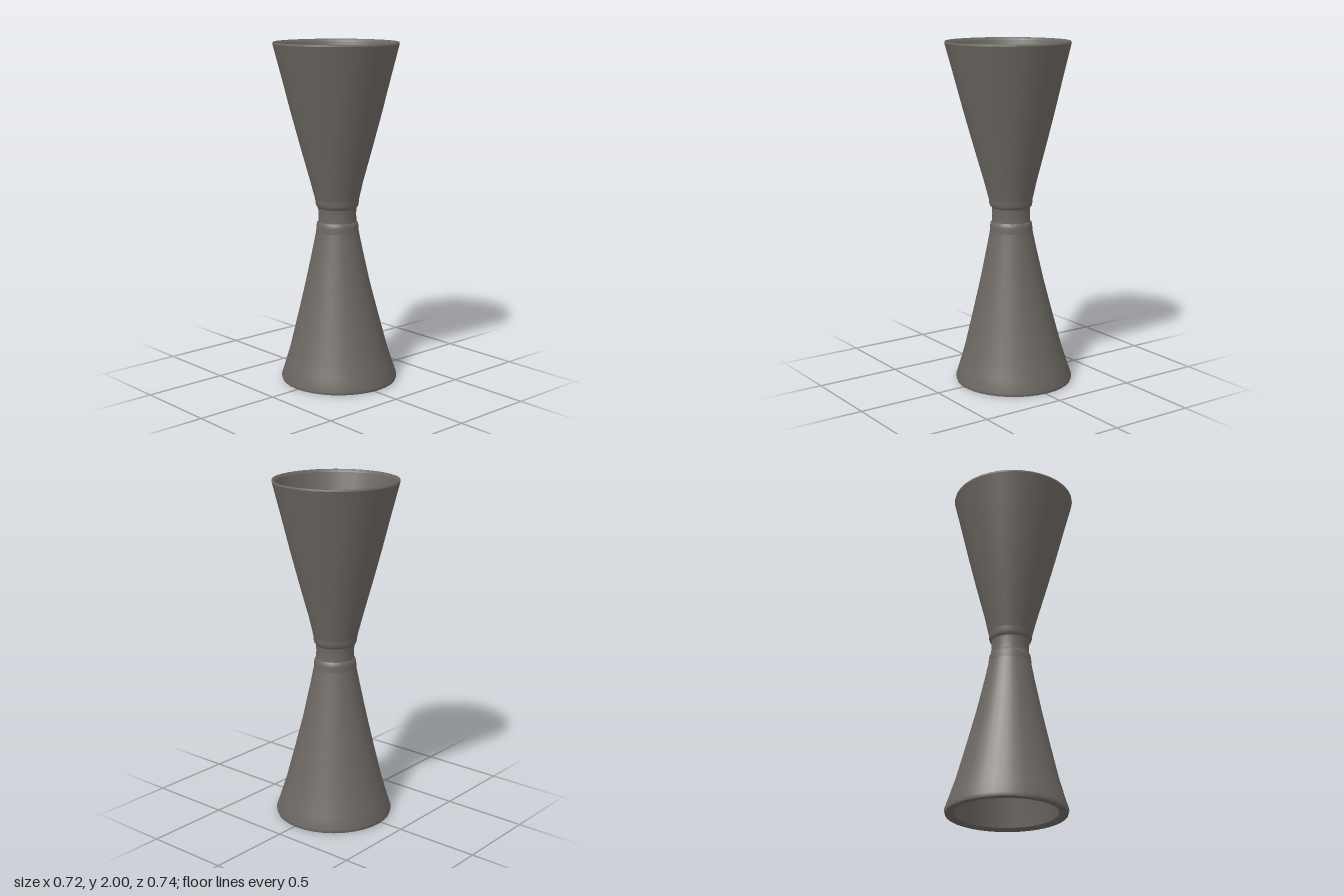
import * as THREE from 'three';

const SEGMENTS = 36;

// The axis leans a little: [y, x offset, z offset]
const axis = [[0, -0.015, -0.03], [0.6, -0.012, -0.015], [1.0, -0.009, -0.01], [1.2, -0.008, -0.004], [2, 0, 0.008]];

function axisAt(y) {
  let i = 0;
  while (i < axis.length - 2 && y > axis[i + 1][0]) i++;
  const [a, b] = [axis[i], axis[i + 1]];
  const t = (y - a[0]) / (b[0] - a[0]);
  return [a[1] + (b[1] - a[1]) * t, a[2] + (b[2] - a[2]) * t];
}

// Turned surface from [radius, y] points, leaned along the axis
function turned(name, points, material) {
  const geometry = new THREE.LatheGeometry(points.map(([r, y]) => new THREE.Vector2(r, y)), SEGMENTS);
  const p = geometry.attributes.position;
  for (let i = 0; i < p.count; i++) {
    const [dx, dz] = axisAt(p.getY(i));
    p.setX(i, p.getX(i) + dx);
    p.setZ(i, p.getZ(i) + dz);
  }
  const mesh = new THREE.Mesh(geometry, material);
  mesh.name = name;
  return mesh;
}

export function createModel() {
  const metal = new THREE.MeshStandardMaterial({ color: 0x6c6762 });
  metal.name = 'dark metal';

  const group = new THREE.Group();
  group.name = 'doubleCup';

  const parts = {
    // Lower cup, opening downwards
    lowerCavityRoof: [[0, 0.86], [0.085, 0.86]],
    lowerCupInside: [[0.085, 0.86], [0.16, 0.6], [0.21, 0.4], [0.255, 0.2], [0.29, 0.01]],
    lowerRim: [[0.29, 0.01], [0.3, 0], [0.34, 0]],
    lowerCupOutside: [[0.34, 0], [0.345, 0.02], [0.322, 0.09], [0.288, 0.2], [0.237, 0.4], [0.188, 0.6], [0.145, 0.8], [0.125, 0.9]],
    // Collar beads and narrow waist
    lowerBead: [[0.125, 0.9], [0.123, 0.935], [0.12, 0.95], [0.112, 0.96]],
    waist: [[0.112, 0.96], [0.11, 1.0], [0.112, 1.04]],
    upperBead: [[0.112, 1.04], [0.121, 1.05], [0.126, 1.065], [0.128, 1.09]],
    // Upper cup, opening upwards
    upperCupOutside: [[0.128, 1.09], [0.155, 1.2], [0.21, 1.4], [0.263, 1.6], [0.313, 1.8], [0.362, 1.99]],
    upperRim: [[0.362, 1.99], [0.36, 2], [0.352, 2], [0.343, 1.985]],
    upperCupInside: [[0.343, 1.985], [0.295, 1.8], [0.245, 1.6], [0.192, 1.4], [0.137, 1.2], [0.092, 1.07]],
    upperCupFloor: [[0.092, 1.07], [0, 1.07]],
  };
  for (const [name, points] of Object.entries(parts)) group.add(turned(name, points, metal));

  return group;
}
